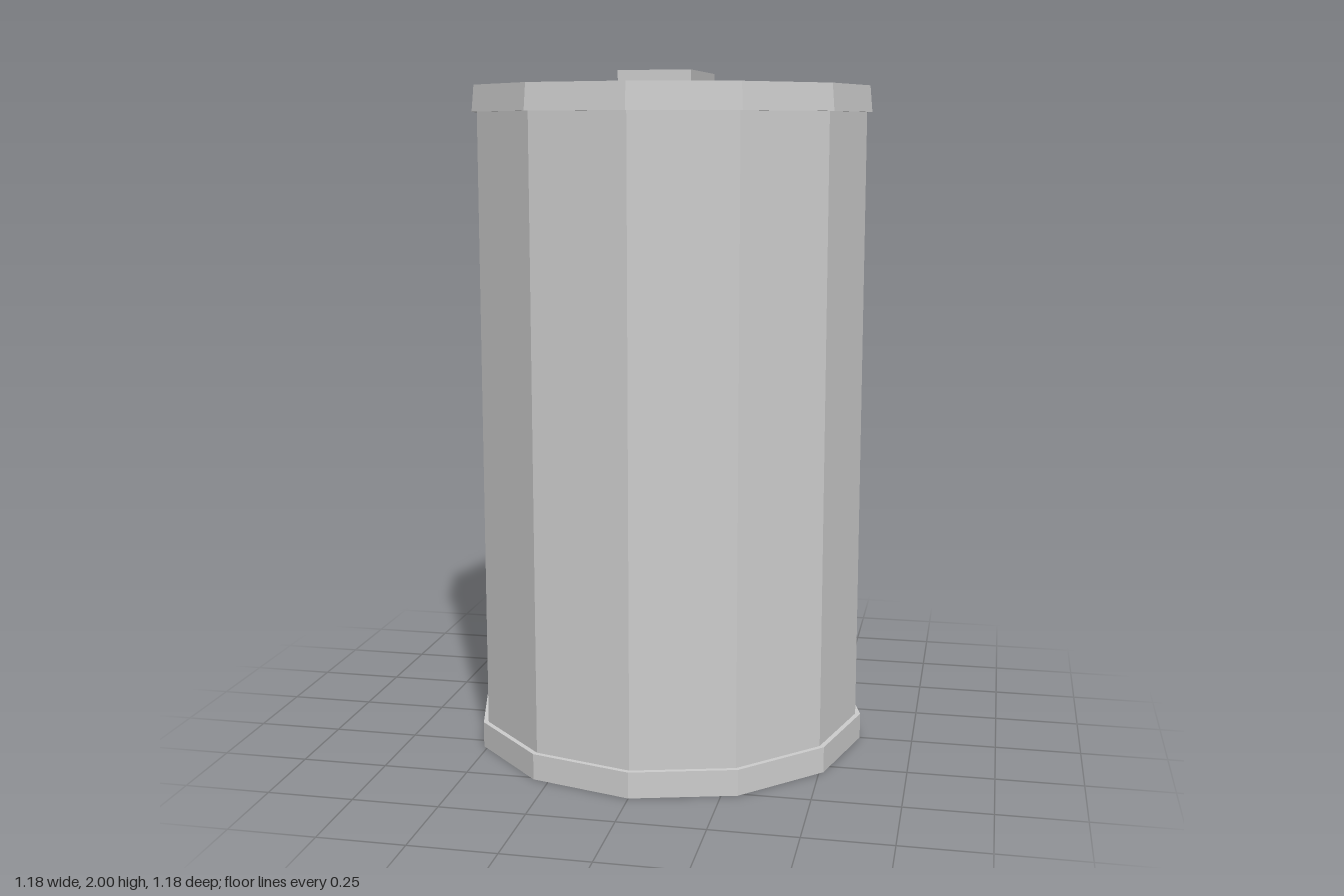
import * as THREE from 'three';

const SIDES = 12;

export function createModel() {
  const group = new THREE.Group();
  const grey = new THREE.MeshStandardMaterial({ color: 0xcccccc, flatShading: true });
  grey.name = 'light grey metal';

  function add(name, geometry, x, y, z) {
    const mesh = new THREE.Mesh(geometry, grey);
    mesh.name = name;
    mesh.position.set(x, y, z);
    group.add(mesh);
  }

  // Twelve-sided drum section standing between two heights
  function drum(name, topRadius, bottomRadius, y0, y1, open = false) {
    const geometry = new THREE.CylinderGeometry(topRadius, bottomRadius, y1 - y0, SIDES, 1, open);
    add(name, geometry, 0, (y0 + y1) / 2, 0);
  }

  drum('base', 0.592, 0.592, 0, 0.076);
  drum('body', 0.577, 0.577, 0.076, 1.885, true);
  drum('lid', 0.585, 0.592, 1.885, 1.96);

  // Flat handle, set slightly towards the front
  add('lidHandle', new THREE.BoxGeometry(0.21, 0.04, 0.376), 0, 1.98, 0.036);

  return group;
}
